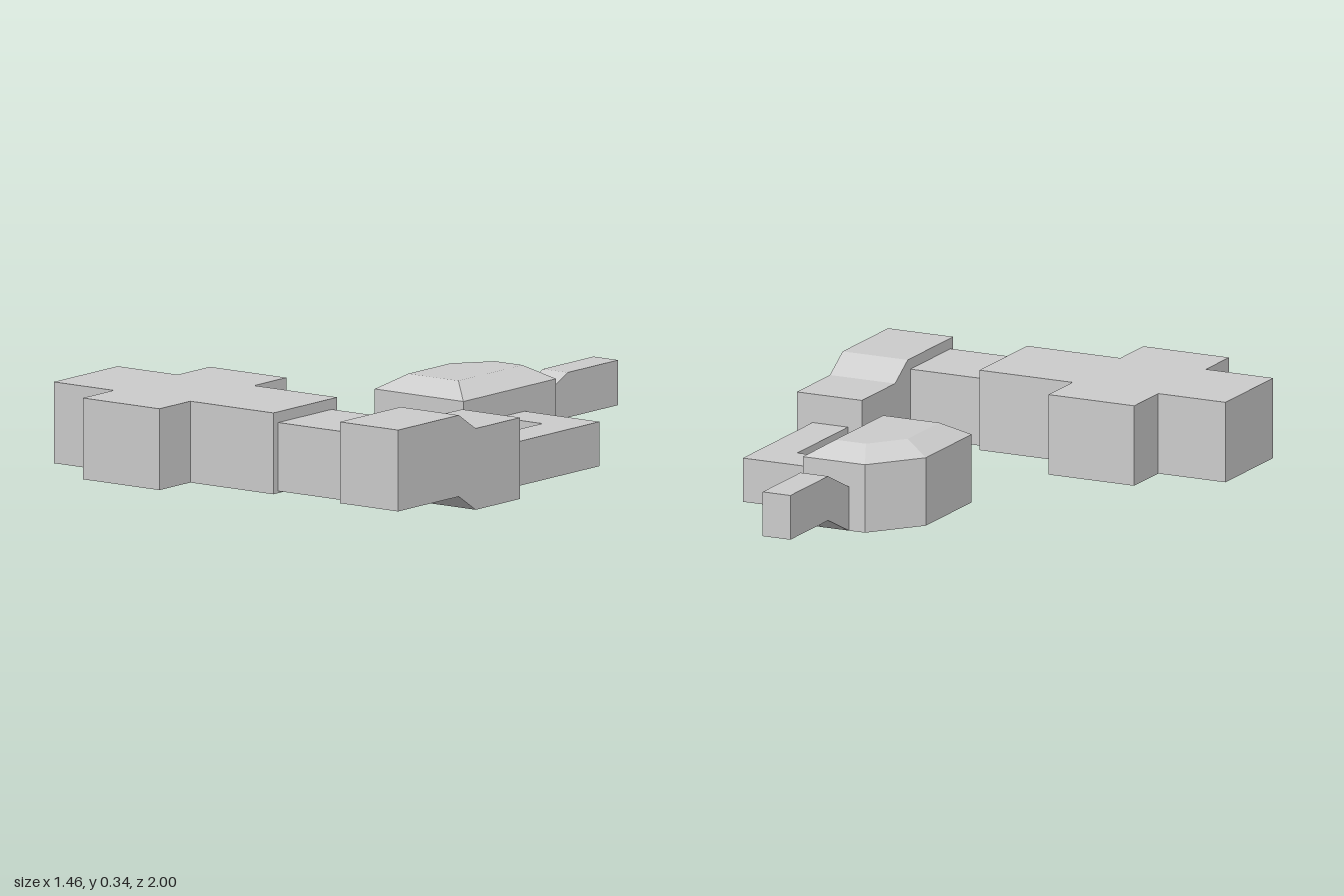
import * as THREE from 'three';

const grey = new THREE.MeshStandardMaterial({ color: 0xcccccc });
grey.name = 'grey';

// Plan outline [x, z] raised from y0 to y1
function planPrism(points, y0, y1) {
  const shape = new THREE.Shape(points.map(([x, z]) => new THREE.Vector2(x, -z)));
  return new THREE.ExtrudeGeometry(shape, { depth: y1 - y0, bevelEnabled: false })
    .rotateX(-Math.PI / 2).translate(0, y0, 0);
}

// Side outline [z, y] spanning x0 to x1
function sidePrism(points, x0, x1) {
  const shape = new THREE.Shape(points.map(([z, y]) => new THREE.Vector2(z, y)));
  return new THREE.ExtrudeGeometry(shape, { depth: x1 - x0, bevelEnabled: false })
    .rotateY(-Math.PI / 2).translate(x1, 0, 0);
}

// Convex solid through stacked plan outlines, each { y, points }, with flat caps
function stackedSolid(levels) {
  const rings = levels.map(({ y, points }) => points.map(([x, z]) => [x, y, z]));
  const pos = [];
  const tri = (a, b, c) => pos.push(...a, ...b, ...c);
  const n = rings[0].length;
  for (let r = 0; r < rings.length - 1; r++) {
    const lo = rings[r], hi = rings[r + 1];
    for (let i = 0; i < n; i++) {
      const j = (i + 1) % n;
      tri(lo[i], lo[j], hi[j]);
      tri(lo[i], hi[j], hi[i]);
    }
  }
  const bottom = rings[0], top = rings[rings.length - 1];
  for (let i = 1; i < n - 1; i++) {
    tri(bottom[0], bottom[i + 1], bottom[i]);
    tri(top[0], top[i], top[i + 1]);
  }
  const geo = new THREE.BufferGeometry();
  geo.setAttribute('position', new THREE.Float32BufferAttribute(pos, 3));
  geo.computeVertexNormals();
  return geo;
}

export function createModel() {
  const model = new THREE.Group();
  model.name = 'connectedRooms';
  const add = (name, geometry) => {
    const mesh = new THREE.Mesh(geometry, grey);
    mesh.name = name;
    model.add(mesh);
  };

  // Cross-shaped hall
  add('crossHall', planPrism([
    [-0.73, 0.47], [-0.475, 0.47], [-0.475, 0.29], [-0.15, 0.29],
    [-0.15, 0.47], [0.203, 0.47], [0.203, 0.827], [-0.15, 0.827],
    [-0.15, 1], [-0.475, 1], [-0.475, 0.827], [-0.73, 0.827],
  ], 0.06, 0.34));

  // Narrower passage between hall and stepped passage
  add('hallPassage', planPrism([
    [0.203, 0.5], [0.48, 0.5], [0.48, 0.8], [0.203, 0.8],
  ], 0.067, 0.303));

  // Passage that slopes down to the lower level
  add('slopedPassage', sidePrism([
    [0.82, 0.06], [0.82, 0.34], [0.48, 0.34], [0.385, 0.28],
    [0.137, 0.28], [0.137, 0], [0.385, 0], [0.48, 0.06],
  ], 0.48, 0.727));

  // L-shaped corridor
  add('cornerCorridor', planPrism([
    [0.35, -0.385], [0.667, -0.385], [0.667, 0.137], [0.533, 0.137],
    [0.533, -0.242], [0.35, -0.242],
  ], 0.027, 0.18));

  // Chamber with one cut corner and a hipped roof
  const walls = [[-0.027, -0.042], [0.35, -0.042], [0.35, -0.56], [0.115, -0.56], [-0.027, -0.385]];
  const roof = [[0.055, -0.122], [0.268, -0.122], [0.268, -0.48], [0.152, -0.48], [0.055, -0.358]];
  add('roofedChamber', stackedSolid([
    { y: 0.027, points: walls },
    { y: 0.265, points: walls },
    { y: 0.315, points: roof },
  ]));

  // Rising exit tunnel
  add('exitTunnel', sidePrism([
    [-0.56, 0.027], [-0.56, 0.18], [-0.717, 0.255],
    [-1, 0.255], [-1, 0.1], [-0.717, 0.1],
  ], 0.175, 0.28));

  return model;
}
